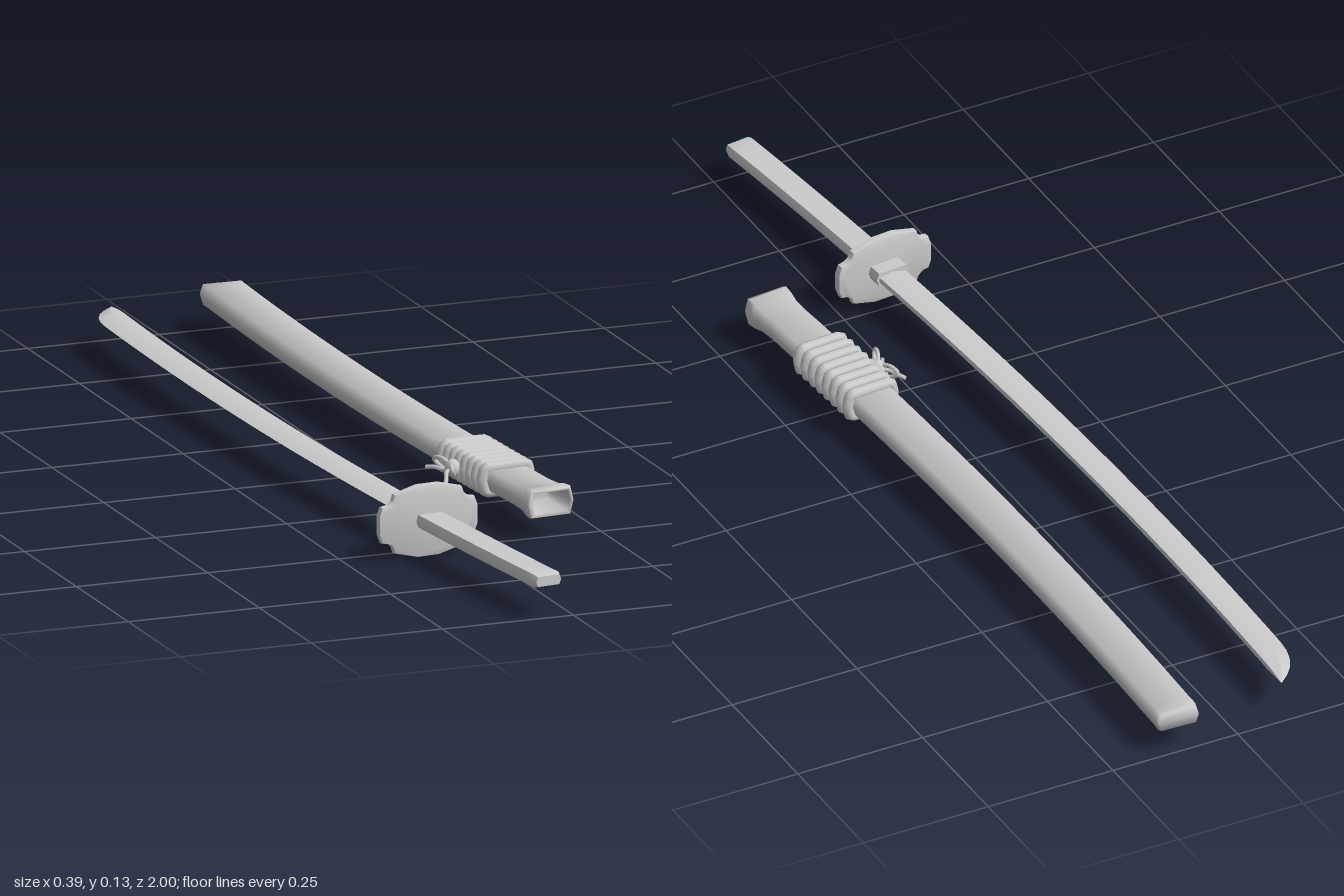
import * as THREE from 'three';
import { toCreasedNormals } from 'three/addons/utils/BufferGeometryUtils.js';

const material = new THREE.MeshStandardMaterial({ color: 0xcccccc, side: THREE.DoubleSide });

function part(name, geometry) {
  const mesh = new THREE.Mesh(geometry, material);
  mesh.name = name;
  return mesh;
}

// Shallow arc that both sword and scabbard follow: x as a function of z.
const arc = (x0, y, bend) => ({
  // point at w across and h above the centreline, square to the arc
  at(z, w, h) {
    const slope = 2 * bend * (z + 0.5), n = Math.hypot(1, slope);
    return new THREE.Vector3(x0 + bend * (z + 0.5) ** 2 + w / n, y + h, z - (w * slope) / n);
  },
});
const swordArc = arc(-0.135, 0.068, 0.04);
const sheathArc = arc(0.108, 0.069, 0.038);

// Skin rings of equal length (counter-clockwise seen from +z) and cap both ends.
function loft(rings, crease) {
  const n = rings[0].length, pos = [], index = [];
  rings.flat().forEach((p) => pos.push(p.x, p.y, p.z));
  for (let i = 0; i < rings.length - 1; i++)
    for (let j = 0; j < n; j++) {
      const a = i * n + j, b = i * n + ((j + 1) % n);
      index.push(a, a + n, b, b, a + n, b + n);
    }
  const last = (rings.length - 1) * n;
  for (let j = 1; j < n - 1; j++) {
    index.push(0, j, j + 1);
    index.push(last, last + j + 1, last + j);
  }
  const g = new THREE.BufferGeometry();
  g.setAttribute('position', new THREE.Float32BufferAttribute(pos, 3));
  g.setIndex(index);
  return toCreasedNormals(g, crease);
}

// Flat-topped six-sided section with slightly pointed flanks.
const hexagon = [[1, 0], [0.86, 1], [-0.86, 1], [-1, 0], [-0.86, -1], [0.86, -1]];
const hexRing = (path, z, w, h) => hexagon.map(([u, v]) => path.at(z, u * w, v * h));

function steps(from, to, count, make) {
  return Array.from({ length: count + 1 }, (_, i) => make(from + ((to - from) * i) / count));
}

function makeSword() {
  const sword = new THREE.Group();
  sword.name = 'sword';

  // Blade: flat spine on +x, ridge in the middle, cutting edge on -x
  const bladeRing = (z, edge) => {
    const spine = 0.028, mid = (spine + edge) / 2, t = Math.min(1, (spine - edge) / 0.045);
    return [[spine, -0.005 * t], [spine, 0.005 * t], [mid, 0.008 * t], [edge, 0], [mid, -0.008 * t]]
      .map(([w, h]) => swordArc.at(z, w, h));
  };
  const bladeRings = steps(0.53, -0.86, 28, (z) => bladeRing(z, -0.028));
  const point = [[-0.89, -0.026], [-0.915, -0.02], [-0.94, -0.009], [-0.96, 0.006], [-0.98, 0.0265]];
  point.forEach(([z, edge]) => bladeRings.push(bladeRing(z, edge)));
  sword.add(part('blade', loft(bladeRings, 0.45)));

  // Handle, with eased edges at the butt
  const grip = [hexRing(swordArc, 0.996, 0.025, 0.009),
    ...steps(0.988, 0.53, 10, (z) => hexRing(swordArc, z, 0.028, 0.0115))];
  sword.add(part('handle', loft(grip, 0.9)));

  // Collar between guard and blade
  sword.add(part('bladeCollar', loft(
    [0.535, 0.498].map((z) => hexRing(swordArc, z, 0.033, 0.013)), 0.7)));

  // Guard: broad plate with a scooped notch at each corner
  const quarter = [[0.098, 0.017], [0.092, 0.033], [0.08, 0.035], [0.071, 0.042], [0.067, 0.054], [0.021, 0.066]];
  const flip = (sx, sy) => quarter.map(([x, y]) => new THREE.Vector2(x * sx, y * sy));
  const outline = [...flip(1, 1), ...flip(-1, 1).reverse(), ...flip(-1, -1), ...flip(1, -1).reverse()];
  const plate = new THREE.ExtrudeGeometry(new THREE.Shape(outline), {
    depth: 0.008, bevelEnabled: true, bevelThickness: 0.004, bevelSize: 0.004, bevelOffset: -0.004, bevelSegments: 2,
  });
  plate.translate(0, 0, -0.004);
  const guard = part('guard', toCreasedNormals(plate, 0.6));
  guard.position.set(-0.095, 0.067, 0.534);
  guard.rotation.y = 0.09;
  sword.add(guard);
  return sword;
}

function makeScabbard() {
  const scabbard = new THREE.Group();
  scabbard.name = 'scabbard';

  // Cavity floor, mouth rim, flared lip, neck, long body, rounded end
  const profile = [
    [0.44, 0.033, 0.014], [0.515, 0.036, 0.018], [0.521, 0.038, 0.02], [0.521, 0.043, 0.024],
    [0.515, 0.046, 0.026], [0.495, 0.044, 0.025], [0.475, 0.041, 0.021], [0.44, 0.04, 0.0195],
  ];
  const rings = profile.map(([z, w, h]) => hexRing(sheathArc, z, w, h));
  rings.push(...steps(0.4, -0.97, 28, (z) => hexRing(sheathArc, z, 0.041, 0.019)));
  rings.push(hexRing(sheathArc, -0.99, 0.042, 0.019), hexRing(sheathArc, -0.999, 0.039, 0.016));
  scabbard.add(part('sheath', loft(rings, 1.35)));

  // Cord wound around the sheath
  for (let i = 0; i < 8; i++) {
    const ring = hexRing(sheathArc, 0.164 + i * 0.0243, 0.046, 0.0215);
    const path = new THREE.CatmullRomCurve3(ring, true, 'catmullrom', 0.12);
    scabbard.add(part('cordTurn', new THREE.TubeGeometry(path, 48, 0.0108, 8, true)));
  }

  // Knot on the flank with two loops and two loose ends
  const knot = new THREE.Group();
  knot.name = 'cordKnot';
  knot.position.set(0.068, 0.07, 0.245);
  const heart = part('knotHeart', new THREE.SphereGeometry(0.015, 12, 8));
  heart.scale.set(0.9, 1.1, 1.2);
  knot.add(heart);
  const cord = (name, points, closed) => knot.add(part(name, new THREE.TubeGeometry(
    new THREE.CatmullRomCurve3(points.map((p) => new THREE.Vector3(...p)), closed), 20, 0.004, 6, closed)));
  for (const s of [-1, 1]) {
    cord('knotLoop', [[0, 0, 0], [-0.012, 0.014, s * 0.022], [-0.018, 0.008, s * 0.045], [-0.008, -0.006, s * 0.026]], true);
    cord('looseEnd', [[0, 0, 0], [-0.016, -0.003, s * 0.012], [-0.024, -0.008 - s * 0.005, s * 0.03], [-0.033, -0.012 - s * 0.006, s * 0.044]], false);
  }
  scabbard.add(knot);
  return scabbard;
}

export function createModel() {
  const model = new THREE.Group();
  model.name = 'swordAndScabbard';
  model.add(makeSword(), makeScabbard());
  return model;
}
